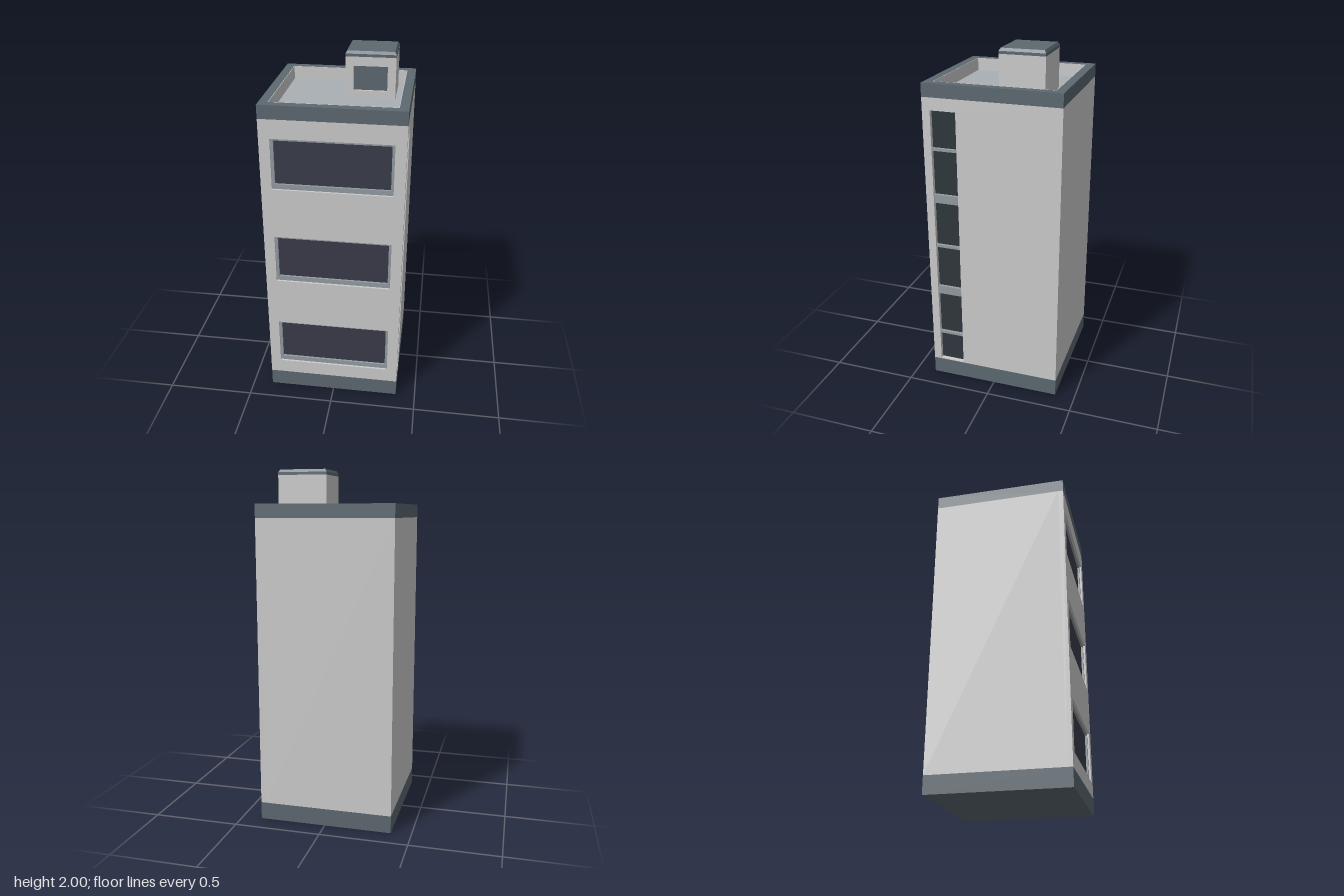
import * as THREE from 'three';

const mat = (color) => new THREE.MeshStandardMaterial({ color });
const wallMat = mat(0xcccccc);
const trimMat = mat(0x5c6870);
const frameMat = mat(0x949ca2);
const floorMat = mat(0xa9afb3);
const glassMat = mat(0x393b4a);
const sideGlassMat = mat(0x2f373c);

const W = 0.385;      // half width of the tower
const BASE = 0.1;     // top of the plinth
const EAVE = 1.74;    // bottom of the parapet band
const SKIN = 0.03;    // thickness of the pierced walls

function add(parent, name, geometry, material) {
  const mesh = new THREE.Mesh(geometry, material);
  mesh.name = name;
  parent.add(mesh);
  return mesh;
}

// Box given by its limits on each axis
function block(parent, name, [x0, x1], [y0, y1], [z0, z1], material) {
  const mesh = add(parent, name, new THREE.BoxGeometry(x1 - x0, y1 - y0, z1 - z0), material);
  mesh.position.set((x0 + x1) / 2, (y0 + y1) / 2, (z0 + z1) / 2);
  return mesh;
}

function rect(Type, x0, x1, y0, y1) {
  return new Type([[x0, y0], [x1, y0], [x1, y1], [x0, y1]].map(([x, y]) => new THREE.Vector2(x, y)));
}

// Flat panel with rectangular holes; limits are [x0, x1, y0, y1]
function panel(outer, holes, depth) {
  const shape = rect(THREE.Shape, ...outer);
  shape.holes = holes.map((h) => rect(THREE.Path, ...h));
  return new THREE.ExtrudeGeometry(shape, { depth, bevelEnabled: false });
}

// Square ring lying flat, from y0 upward
function ring(parent, name, outer, inner, y0, height, material) {
  const geo = panel([-outer, outer, -outer, outer], [[-inner, inner, -inner, inner]], height);
  geo.rotateX(-Math.PI / 2);
  add(parent, name, geo, material).position.y = y0;
}

function createTower() {
  const tower = new THREE.Group();
  tower.name = 'tower';
  block(tower, 'plinth', [-W, W], [0, BASE], [-W, W], trimMat);
  block(tower, 'core', [-W, W - SKIN], [BASE, EAVE], [-W, W - SKIN], wallMat);

  // Front wall with three wide windows
  const sills = [0.185, 0.765, 1.345];
  const openings = sills.map((y) => [-0.325, 0.325, y, y + 0.29]);
  add(tower, 'frontWall', panel([-W, W, BASE, EAVE], openings, SKIN), wallMat).position.z = W - SKIN;
  for (const y of sills) {
    const frame = panel([-0.325, 0.325, y, y + 0.29], [[-0.31, 0.31, y + 0.028, y + 0.277]], 0.018);
    add(tower, 'windowFrame', frame, frameMat).position.z = W - SKIN;
    block(tower, 'windowGlass', [-0.312, 0.312], [y + 0.026, y + 0.279], [W - SKIN, W - 0.024], glassMat);
  }

  // Left wall with a tall glazed slot; panel x runs toward -z
  const slot = [-0.34, -0.195, 0.105, 1.67];
  const side = panel([-(W - SKIN), W, BASE, EAVE], [slot], SKIN);
  side.rotateY(Math.PI / 2);
  add(tower, 'leftWall', side, wallMat).position.x = W - SKIN;
  block(tower, 'slotGlass', [W - SKIN, W - 0.024], [0.105, 1.67], [0.195, 0.34], sideGlassMat);
  for (const [y0, y1] of [[0.285, 0.3], [0.56, 0.61], [0.865, 0.88], [1.14, 1.19], [1.445, 1.46]]) {
    block(tower, 'slotCrossbar', [W - SKIN, W - 0.006], [y0, y1], [0.195, 0.34], frameMat);
  }
  return tower;
}

function createRoof() {
  const roof = new THREE.Group();
  roof.name = 'roof';
  ring(roof, 'parapet', W, 0.336, EAVE, 0.075, trimMat);
  ring(roof, 'parapetLining', 0.336, 0.333, EAVE, 0.075, wallMat);
  block(roof, 'roofFloor', [-0.334, 0.334], [EAVE - 0.01, EAVE + 0.002], [-0.334, 0.334], floorMat);

  // Stair house with a recessed front window
  const x = [0.015, 0.29];
  block(roof, 'stairHouse', x, [EAVE, 1.97], [-0.265, -0.03], wallMat);
  const opening = [0.06, 0.245, 1.785, 1.92];
  add(roof, 'stairHouseFront', panel([...x, EAVE, 1.97], [opening], 0.015), wallMat).position.z = -0.03;
  block(roof, 'stairHouseWindow', [0.06, 0.245], [1.785, 1.92], [-0.03, -0.027], trimMat);

  // Cap with a chamfered top edge
  block(roof, 'cap', x, [1.97, 1.985], [-0.265, -0.015], trimMat);
  const top = block(roof, 'capTop', x, [1.985, 2], [-0.265, -0.015], trimMat);
  const p = top.geometry.attributes.position;
  for (let i = 0; i < p.count; i++) {
    if (p.getY(i) > 0) {
      p.setX(i, p.getX(i) - Math.sign(p.getX(i)) * 0.009);
      p.setZ(i, p.getZ(i) - Math.sign(p.getZ(i)) * 0.009);
    }
  }
  top.geometry.computeVertexNormals();
  return roof;
}

export function createModel() {
  const model = new THREE.Group();
  model.name = 'towerBlock';
  model.add(createTower(), createRoof());
  return model;
}
